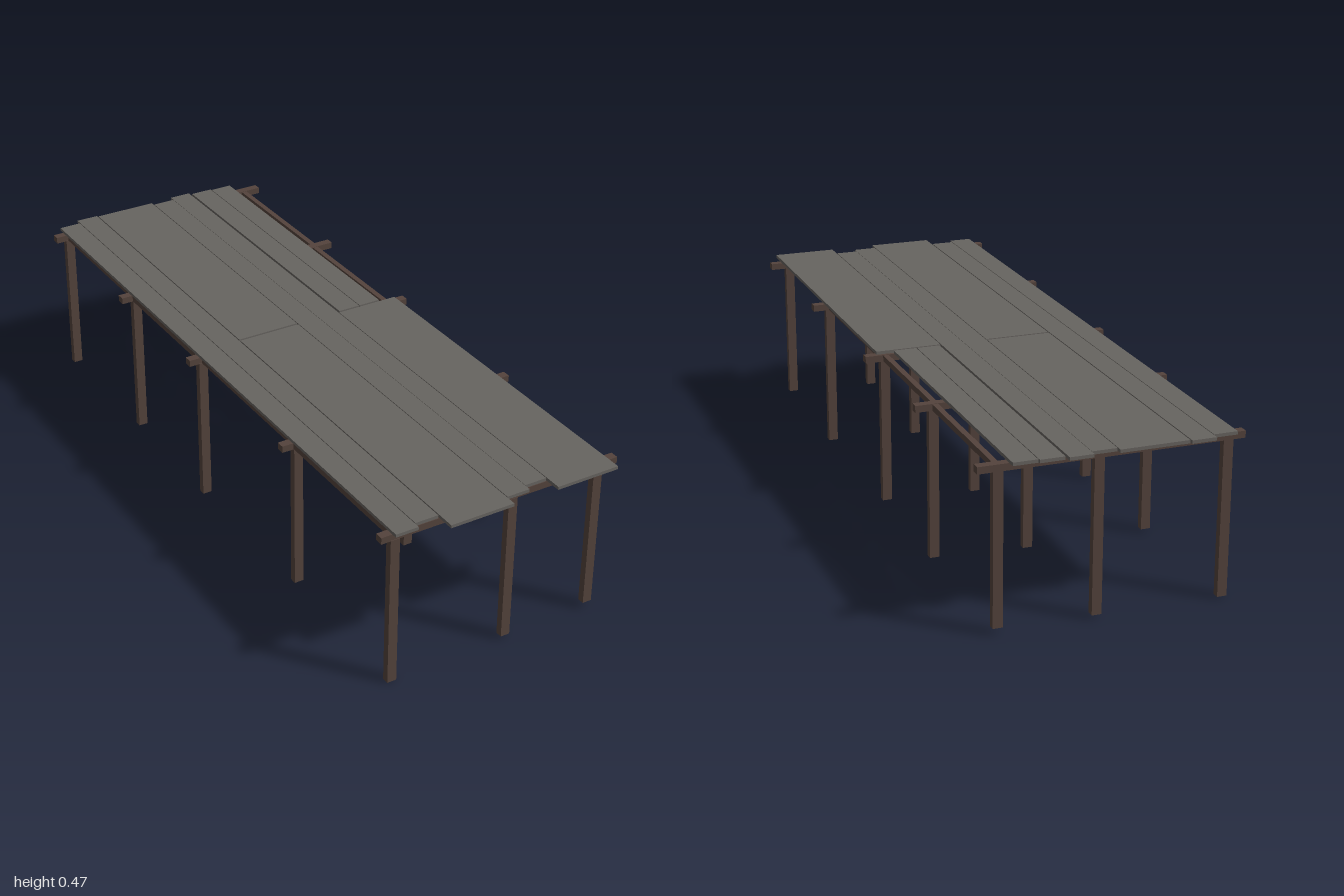
import * as THREE from 'three';

export function createModel() {
  const model = new THREE.Group();
  model.name = 'pier';
  const wood = new THREE.MeshStandardMaterial({ color: 0x54433c });
  wood.name = 'dark brown timber';
  const boards = new THREE.MeshStandardMaterial({ color: 0x676460 });
  boards.name = 'weathered grey planks';

  // Box given by its extents on each axis
  function box(name, material, x0, x1, y0, y1, z0, z1) {
    const mesh = new THREE.Mesh(new THREE.BoxGeometry(x1 - x0, y1 - y0, z1 - z0), material);
    mesh.position.set((x0 + x1) / 2, (y0 + y1) / 2, (z0 + z1) / 2);
    mesh.name = name;
    model.add(mesh);
    return mesh;
  }

  const rows = [0.937, 0.455, -0.063, -0.49, -0.95];
  const columns = [-0.316, 0.036, 0.303];
  const postShift = [-0.004, 0.004, -0.002, 0.004, 0];
  const footHeight = [[0, 0.008, 0.004, 0.008, 0.004], [0.01, 0.006, 0.008, 0.006, 0.01], [0.018, 0.018, 0.018, 0.018, 0.018]];
  const beamBottom = 0.438, beamTop = 0.457;

  rows.forEach((z, r) => {
    // Cross beam with overhanging ends
    box('crossBeam', wood, -0.36, 0.36, beamBottom, beamTop, z - 0.012, z + 0.012);
    columns.forEach((cx, c) => {
      // Post below the beam, slightly off line
      const x = cx + postShift[r];
      const pz = z + 0.004;
      box('post', wood, x - 0.0135, x + 0.0135, footHeight[c][r], beamBottom + 0.002, pz - 0.01, pz + 0.01);
      // Stringer to the next cross beam
      if (r < rows.length - 1) {
        const sx = cx + (r % 2 ? 0.002 : -0.002);
        box('stringer', wood, sx - 0.008, sx + 0.008, beamBottom + 0.001, beamTop - 0.001, rows[r + 1], z);
      }
    });
  });

  // Deck planks: x range, z range
  const planks = [
    [-0.328, -0.262, -0.98, 0.965],
    [-0.260, -0.193, -1.0, 0.947],
    [-0.190, -0.001, -0.995, -0.073],
    [-0.190, -0.001, -0.066, 1.0],
    [0.001, 0.069, -0.982, 0.967],
    [0.070, 0.135, -1.0, 0.947],
    [0.142, 0.209, -0.99, -0.073],
    [0.211, 0.277, -0.985, -0.073],
    [0.137, 0.326, -0.066, 0.996],
  ];
  for (const [x0, x1, z0, z1] of planks) box('deckPlank', boards, x0, x1, beamTop, 0.466, z0, z1);

  return model;
}
